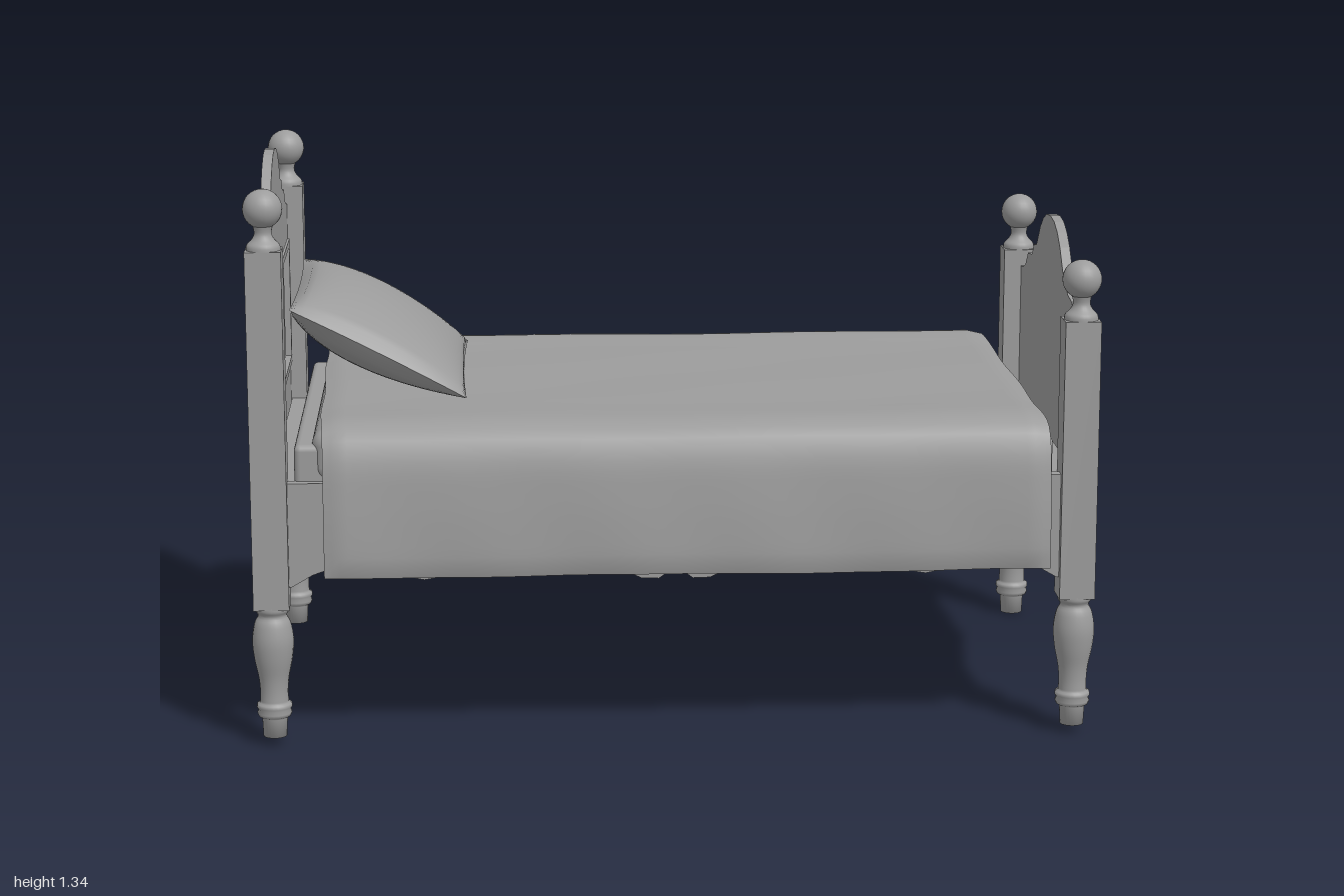
import * as THREE from 'three';
import { RoundedBoxGeometry } from 'three/addons/geometries/RoundedBoxGeometry.js';

const GREY = 0x9c9c9c;
const material = new THREE.MeshStandardMaterial({ color: GREY });
const clothMaterial = new THREE.MeshStandardMaterial({ color: GREY, side: THREE.DoubleSide });

function add(parent, name, geometry, x = 0, y = 0, z = 0, mat = material) {
  const mesh = new THREE.Mesh(geometry, mat);
  mesh.name = name;
  mesh.position.set(x, y, z);
  parent.add(mesh);
  return mesh;
}

const vec = (list) => list.map(([x, y]) => new THREE.Vector2(x, y));
const mirrored = (half) => [...half, ...half.slice(0, -1).reverse().map(([x, y]) => [-x, y])];
const smooth = (pts, n) => new THREE.SplineCurve(vec(pts)).getPoints(n);

function rect(path, x0, y0, x1, y1) {
  path.moveTo(x0, y0);
  path.lineTo(x1, y0);
  path.lineTo(x1, y1);
  path.lineTo(x0, y1);
  path.closePath();
  return path;
}

// Bent grid: every point of a unit plane is placed by fn(u, v)
function sheet(nu, nv, fn) {
  const g = new THREE.PlaneGeometry(1, 1, nu, nv);
  const p = g.attributes.position;
  for (let i = 0; i < p.count; i++) p.setXYZ(i, ...fn(p.getX(i) + 0.5, p.getY(i) + 0.5));
  g.computeVertexNormals();
  return g;
}

// Square post with a turned leg below and a ball finial on top
function bedPost(name, top) {
  const post = new THREE.Group();
  post.name = name;
  add(post, 'postShaft', new THREE.BoxGeometry(0.084, top - 0.325, 0.08), 0, (top + 0.325) / 2);
  const leg = smooth([[0.034, 0.092], [0.033, 0.12], [0.036, 0.155], [0.045, 0.2], [0.049, 0.245],
    [0.043, 0.285], [0.034, 0.305], [0.04, 0.318], [0.04, 0.33]], 28);
  const foot = vec([[0, 0.01], [0.028, 0.01], [0.03, 0.055], [0.038, 0.06], [0.041, 0.068], [0.038, 0.076],
    [0.042, 0.082], [0.041, 0.09]]);
  add(post, 'turnedLeg', new THREE.LatheGeometry([...foot, ...leg], 24));
  const neck = smooth([[0.04, 0], [0.038, 0.012], [0.026, 0.025], [0.02, 0.04], [0.025, 0.062]], 14);
  add(post, 'finialNeck', new THREE.LatheGeometry(neck, 24), 0, top);
  add(post, 'finialBall', new THREE.SphereGeometry(0.046, 24, 16), 0, top + 0.095);
  return post;
}

// End board: scrolled outline, two recessed panels facing +x
function endBoard(name, shoulder) {
  const board = new THREE.Group();
  board.name = name;
  const top = mirrored([[0.46, 0], [0.42, 0.004], [0.385, 0.017], [0.365, 0.035], [0.345, 0.054], [0.285, 0.06],
    [0.265, 0.075], [0.25, 0.092], [0.21, 0.098], [0.19, 0.118], [0.155, 0.153], [0.11, 0.182], [0.06, 0.2], [0, 0.206]])
    .map(([x, y]) => [x, y + shoulder]);
  const bottom = mirrored([[0.46, 0.416], [0.4, 0.416], [0.35, 0.43], [0.29, 0.437], [0.23, 0.432], [0.17, 0.413],
    [0.125, 0.404], [0.11, 0.412], [0.095, 0.403], [0.07, 0.402], [0.04, 0.384], [0, 0.376]]).reverse();
  const outline = () => new THREE.Shape(vec([...top, ...bottom]));
  const extrude = (shape, depth, opts = {}) => new THREE.ExtrudeGeometry(shape, { depth, bevelEnabled: false, ...opts });

  add(board, 'boardBack', extrude(outline(), 0.013), 0, 0, -0.014);
  const front = outline();
  const y0 = shoulder - 0.408, y1 = shoulder - 0.088;
  for (const s of [-1, 1]) {
    const a = s > 0 ? 0.022 : -0.437, b = s > 0 ? 0.437 : -0.022;
    front.holes.push(rect(new THREE.Path(), a + 0.012, y0 + 0.012, b - 0.012, y1 - 0.012));
    // Moulding around the panel
    const frame = rect(new THREE.Shape(), a, y0, b, y1);
    frame.holes.push(rect(new THREE.Path(), a + 0.018, y0 + 0.018, b - 0.018, y1 - 0.018));
    add(board, 'panelMoulding', extrude(frame, 0.016), 0, 0, 0);
    // Slightly raised field
    const field = rect(new THREE.Shape(), a + 0.072, y0 + 0.06, b - 0.072, y1 - 0.06);
    add(board, 'raisedPanel', extrude(field, 0.001,
      { bevelEnabled: true, bevelSize: 0.045, bevelThickness: 0.004, bevelSegments: 1 }), 0, 0, -0.001);
  }
  add(board, 'boardFront', extrude(front, 0.011), 0, 0, -0.001);
  board.rotation.y = Math.PI / 2;
  return board;
}

// Side rail with a scalloped lower edge
function railGeometry() {
  const lower = mirrored([[0.94, 0.37], [0.9, 0.376], [0.85, 0.405], [0.79, 0.425], [0.71, 0.423], [0.65, 0.402], [0.59, 0.39],
    [0.53, 0.4], [0.46, 0.422], [0.33, 0.436], [0.2, 0.43], [0.13, 0.41], [0.08, 0.387], [0.04, 0.386], [0.018, 0.402], [0, 0.42]]);
  const shape = new THREE.Shape(vec([...lower, [-0.94, 0.625], [0.94, 0.625]]));
  return new THREE.ExtrudeGeometry(shape, { depth: 0.03, bevelEnabled: false });
}

// Blanket: thick draped section swept along the bed, with soft folds
function blanketGeometry() {
  const section = new THREE.CatmullRomCurve3(mirrored([[0.575, 0.416], [0.571, 0.5], [0.563, 0.6], [0.55, 0.69], [0.527, 0.738],
    [0.485, 0.757], [0.3, 0.759], [0, 0.76]]).map(([z, y]) => new THREE.Vector3(0, y, z)), false, 'centripetal');
  return sheet(90, 140, (u, v) => {
    const t = v < 0.5 ? v * 2 : 2 - v * 2;
    const p = section.getPointAt(t), d = section.getTangentAt(t);
    const taper = Math.min(1, u * 45, (1 - u) * 45) * Math.min(1, t * 60, (1 - t) * 60);
    const off = (v < 0.5 ? 1 : -1) * 0.009 * taper;
    const x = -0.837 + 1.7 * u;
    const hang = THREE.MathUtils.clamp((0.755 - p.y) / 0.33, 0, 1);
    const side = Math.sign(p.z);
    const fold = hang * (0.004 * Math.sin(x * 6 + side) + 0.002 * Math.sin(x * 19 + p.y * 8));
    const ripple = (1 - hang) * 0.002 * Math.sin(x * 8 + p.z * 5) * Math.sin(p.z * 9 - x * 3);
    const hem = hang * 0.002 * Math.sin(x * 7 + side * 2);
    return [x + 0.022 * p.z + 0.003 * Math.sin(p.z * 14),
      p.y + off * -d.z + ripple + hem,
      p.z + off * d.y + side * fold];
  });
}

// One face of the pillow: puffed, with pinched seams and corners
function pillowFace(height) {
  return sheet(32, 36, (u, v) => {
    const a = u * 2 - 1, b = v * 2 - 1;
    const puff = Math.pow(Math.max(0, (1 - a * a) * (1 - b * b)), 0.5);
    return [0.234 * a * (1 - 0.035 * (1 - b * b)), height * puff * (1 - 0.15 * a), 0.353 * b * (1 - 0.05 * (1 - a * a))];
  });
}

export function createModel() {
  const model = new THREE.Group();
  model.name = 'bed';
  const bed = new THREE.Group();
  bed.name = 'bedBody';
  // The whole bed stands slightly askew
  bed.rotation.set(-0.02, 0.008, 0);
  bed.position.z = 0.013;
  model.add(bed);

  for (const s of [-1, 1]) {
    const side = s > 0 ? 'left' : 'right';
    const head = bedPost(side + 'HeadPost', 1.174);
    head.position.set(-0.948, 0, 0.497 * s);
    const foot = bedPost(side + 'FootPost', 0.992);
    foot.position.set(0.948, 0, 0.497 * s);
    bed.add(head, foot);
    add(bed, side + 'Rail', railGeometry(), 0, 0, s * 0.508 - 0.021);
  }

  const headboard = endBoard('headboard', 1.13);
  headboard.position.x = -0.957;
  const footboard = endBoard('footboard', 0.95);
  footboard.position.x = 0.964;
  bed.add(headboard, footboard);

  // Bedding
  add(bed, 'bedBase', new THREE.BoxGeometry(1.89, 0.03, 1.0), 0, 0.605);
  add(bed, 'boxSpring', new RoundedBoxGeometry(1.78, 0.11, 0.99, 3, 0.015), 0, 0.655);
  add(bed, 'mattress', new RoundedBoxGeometry(1.72, 0.13, 1.01, 4, 0.04), 0.012, 0.682);
  const blanket = add(bed, 'blanket', blanketGeometry(), 0, 0.001, -0.018, clothMaterial);
  blanket.rotation.x = 0.016;

  const pillow = new THREE.Group();
  pillow.name = 'pillow';
  add(pillow, 'pillowTop', pillowFace(0.082), 0, 0, 0, clothMaterial);
  add(pillow, 'pillowUnderside', pillowFace(-0.095), 0, 0, 0, clothMaterial);
  pillow.position.set(-0.695, 0.892, -0.023);
  pillow.rotation.z = -0.48;
  bed.add(pillow);

  return model;
}
